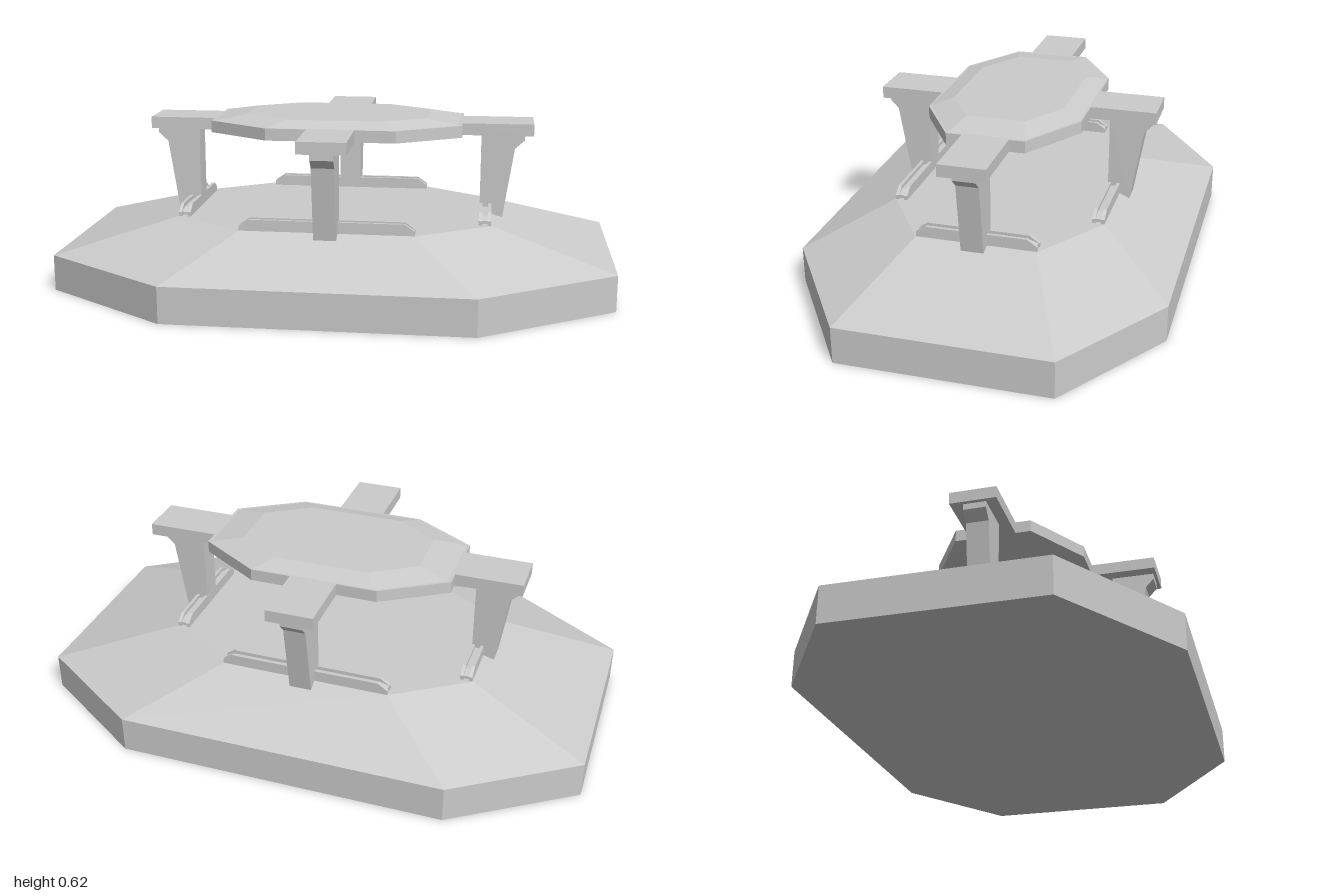
import * as THREE from 'three';

const material = new THREE.MeshStandardMaterial({ color: 0xcccccc, flatShading: true });

function mesh(name, geometry) {
  const m = new THREE.Mesh(geometry, material);
  m.name = name;
  return m;
}

// Octagon as [x, z] corners, running from the back edge round by +x to the front
function octagon(backX, backZ, sideX, sideBackZ, sideFrontZ, frontX, frontZ) {
  return [
    [-backX, -backZ], [backX, -backZ], [sideX, -sideBackZ], [sideX, sideFrontZ],
    [frontX, frontZ], [-frontX, frontZ], [-sideX, sideFrontZ], [-sideX, -sideBackZ],
  ];
}

// Stack of outlines ({ y, ring }, bottom to top) joined by walls and capped
function loft(layers) {
  const n = layers[0].ring.length;
  const positions = [];
  const index = [];
  for (const { y, ring } of layers) for (const [x, z] of ring) positions.push(x, y, z);
  for (let l = 0; l < layers.length - 1; l++) {
    for (let i = 0; i < n; i++) {
      const a = l * n + i;
      const b = l * n + (i + 1) % n;
      index.push(a, a + n, b, b, a + n, b + n);
    }
  }
  const top = (layers.length - 1) * n;
  for (let i = 1; i < n - 1; i++) {
    index.push(0, i, i + 1);
    index.push(top, top + i + 1, top + i);
  }
  const g = new THREE.BufferGeometry();
  g.setAttribute('position', new THREE.Float32BufferAttribute(positions, 3));
  g.setIndex(index);
  const flat = g.toNonIndexed();
  flat.computeVertexNormals();
  return flat;
}

// Side profile [x, y] extruded along z and centred on z = 0
function profile(points, depth) {
  const shape = new THREE.Shape(points.map(([x, y]) => new THREE.Vector2(x, y)));
  const g = new THREE.ExtrudeGeometry(shape, { depth, bevelEnabled: false });
  return g.translate(0, 0, -depth / 2);
}

// Bracket-topped leg leaning outward along +x
function leg(inner, foot, knee, outer) {
  return mesh('leg', profile([
    [inner, 0.24], [foot, 0.24], [knee, 0.503], [outer, 0.535], [outer, 0.56], [inner, 0.56],
  ], 0.08));
}

// Grooved rail along x: two thin walls joined by a lower web
function rail(half) {
  const group = new THREE.Group();
  group.name = 'rail';
  const bar = (y0, y1, h) => [
    [-h, y0], [h, y0], [h, 0.273], [h - 0.035, y1], [-h + 0.035, y1], [-h, 0.273],
  ];
  for (const side of [-1, 1]) {
    const wall = mesh('railWall', profile(bar(0.25, 0.297, half), 0.012));
    wall.position.z = side * 0.016;
    group.add(wall);
  }
  group.add(mesh('railWeb', profile(bar(0.262, 0.284, half - 0.003), 0.024)));
  return group;
}

export function createModel() {
  const model = new THREE.Group();
  model.name = 'pavilion';

  // Wide plinth with sloping shoulders
  const baseOutline = octagon(0.585, 0.66, 1, 0.385, 0.345, 0.53, 0.66);
  model.add(mesh('base', loft([
    { y: 0, ring: baseOutline },
    { y: 0.13, ring: baseOutline },
    { y: 0.257, ring: octagon(0.305, 0.387, 0.57, 0.213, 0.213, 0.305, 0.387) },
  ])));

  // Roof slab: octagon with four arms in one outline
  const slab = [
    [-0.085, -0.28], [-0.085, -0.515], [0.085, -0.515], [0.085, -0.28],
    [0.23, -0.28], [0.455, -0.14],
    [0.455, -0.085], [0.71, -0.085], [0.71, 0.08], [0.455, 0.08],
    [0.455, 0.135], [0.23, 0.275],
    [0.085, 0.275], [0.085, 0.508], [-0.085, 0.508], [-0.085, 0.275],
    [-0.23, 0.275], [-0.455, 0.135],
    [-0.455, 0.08], [-0.695, 0.08], [-0.695, -0.085], [-0.455, -0.085],
    [-0.455, -0.14], [-0.23, -0.28],
  ];
  const slabGeometry = profile(slab.map(([x, z]) => [x, -z]), 0.043);
  slabGeometry.rotateX(-Math.PI / 2).translate(0, 0.5785, 0);
  model.add(mesh('roofSlab', slabGeometry));

  // Bevelled cap on the roof
  model.add(mesh('roofCap', loft([
    { y: 0.598, ring: octagon(0.23, 0.28, 0.455, 0.14, 0.135, 0.23, 0.275) },
    { y: 0.62, ring: octagon(0.17, 0.205, 0.33, 0.105, 0.1, 0.17, 0.2) },
  ])));

  // Thin plate under the roof
  const plate = octagon(0.07, 0.165, 0.165, 0.07, 0.07, 0.07, 0.165);
  model.add(mesh('ceilingPlate', loft([{ y: 0.547, ring: plate }, { y: 0.56, ring: plate }])));

  // Four legs and four rails, one pair on each side
  for (let i = 0; i < 4; i++) {
    const alongX = i % 2 === 0;
    const side = new THREE.Group();
    side.name = ['leftSupport', 'backSupport', 'rightSupport', 'frontSupport'][i];
    side.rotation.y = i * Math.PI / 2;
    side.add(alongX ? leg(0.523, 0.605, 0.645, 0.68) : leg(0.342, 0.422, 0.467, 0.497));
    const track = rail(alongX ? 0.213 : 0.307);
    track.rotation.y = Math.PI / 2;
    track.position.x = alongX ? 0.544 : 0.364;
    side.add(track);
    model.add(side);
  }

  return model;
}
